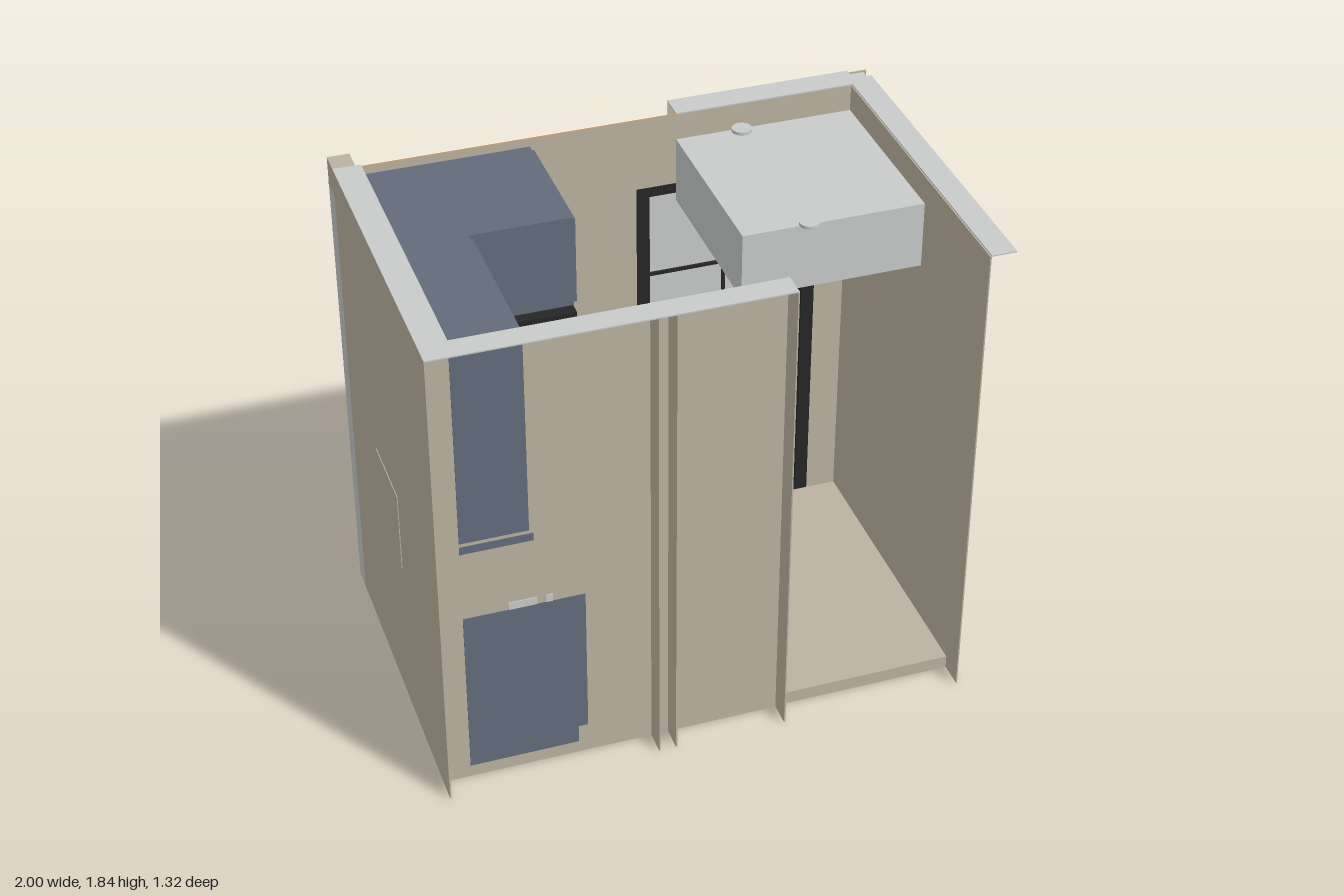
import * as THREE from 'three';

const mat = (name, color) => {
  const m = new THREE.MeshStandardMaterial({ color });
  m.name = name;
  return m;
};

export function createModel() {
  const tan = mat('wall tan', 0xbcb2a0), grey = mat('light grey', 0xc9cbcb);
  const blue = mat('cabinet blue', 0x636b7c), black = mat('appliance black', 0x262626);
  const wood = mat('warm wood', 0xd9aa78);
  const room = new THREE.Group();
  room.name = 'laundryRoom';

  // Box given by its limits on each axis
  const box = (name, m, x0, x1, y0, y1, z0, z1) => {
    const mesh = new THREE.Mesh(new THREE.BoxGeometry(x1 - x0, y1 - y0, z1 - z0), m);
    mesh.position.set((x0 + x1) / 2, (y0 + y1) / 2, (z0 + z1) / 2);
    mesh.name = name;
    room.add(mesh);
    return mesh;
  };
  const T = 0.005, H = 1.835;

  // Upright wall sheet in the xy plane with a door opening
  const doorWall = (name, pts, z) => {
    const s = new THREE.Shape(pts.map(p => new THREE.Vector2(...p)));
    s.holes.push(new THREE.Path([[0.09, 0.05], [0.09, 1.55], [0.79, 1.55], [0.79, 0.05]]
      .map(p => new THREE.Vector2(...p))));
    const mesh = new THREE.Mesh(new THREE.ExtrudeGeometry(s, { depth: T, bevelEnabled: false }), tan);
    mesh.position.z = z;
    mesh.name = name;
    room.add(mesh);
  };

  // Wall sheets
  doorWall('backWallOuter', [[-1, 0], [1, 0], [1, H - T], [0.24, H - T], [0.24, 1.73], [-1, 1.73]], -0.655);
  doorWall('backWallInner', [[-0.99, 0.05], [0.91, 0.05], [0.91, H - T], [-0.99, H - T]], -0.565);
  box('leftOuterWall', tan, -1, -1 + T, 0, H - T, -0.57, 0.66);
  box('leftInnerWall', tan, -0.905, -0.9, 0.05, H - T, -0.56, 0.57);
  box('rightWall', tan, 0.905, 0.91, 0, H - T, -0.56, 0.66);
  box('frontWall', tan, -1 + T, 0.24, 0, H - T, 0.567, 0.572);
  for (const x of [-0.235, -0.173, 0.236]) box('frontWallStub', tan, x, x + T, 0, H - T, 0.572, 0.66);
  box('cornerColumn', grey, 0.91, 0.985, 0, H - T, -0.64, -0.56);
  box('cornerStrip', grey, -1, -0.99, 0, 1.73, -0.655, -0.57);
  box('cornerBlock', tan, -1, -0.92, 1.73, H, -0.655, -0.57);
  box('accessPanel', tan, -1.003, -1, 0.62, 0.93, -0.17, 0.13);

  // Wall caps
  box('leftCap', grey, -1, -0.9, H - T, H, -0.57, 0.66);
  box('rightCap', grey, 0.91, 1, H - T, H, -0.6, 0.66);
  box('frontCap', grey, -0.9, 0.24, H - T, H, 0.57, 0.66);
  box('backCap', grey, 0.24, 0.93, H - T, H, -0.66, -0.56);

  // Sloping wooden header along the back
  const slope = new THREE.Shape([[-0.66, 1.725], [-0.56, 1.827], [-0.56, 1.835], [-0.66, 1.735]]
    .map(([z, y]) => new THREE.Vector2(-z, y)));
  const header = new THREE.Mesh(new THREE.ExtrudeGeometry(slope, { depth: 1.24, bevelEnabled: false }), wood);
  header.rotation.y = Math.PI / 2;
  header.position.x = -1;
  header.name = 'backHeader';
  room.add(header);

  // Floor
  box('floor', tan, -0.99, 0.905, 0.043, 0.05, -0.65, 0.567);
  box('threshold', tan, 0.24, 0.905, 0, 0.05, 0.56, 0.567);
  box('applianceBase', black, -0.9, -0.28, 0.039, 0.043, -0.56, -0.06);
  box('cabinetBase', blue, -0.9, -0.5, 0.039, 0.043, -0.06, 0.565);

  // Glazed back door
  box('doorGlass', grey, 0.12, 0.76, 0.08, 1.52, -0.615, -0.605);
  for (const [a, b] of [[0.09, 0.14], [0.74, 0.79]]) box('doorStile', black, a, b, 0.05, 1.55, -0.65, -0.56);
  for (const [a, b] of [[0.05, 0.09], [1.51, 1.55]]) box('doorRail', black, 0.14, 0.74, a, b, -0.65, -0.56);
  box('doorMuntin', black, 0.434, 0.446, 0.09, 1.51, -0.625, -0.595);
  for (const y of [0.443, 0.798, 1.155]) box('doorMuntin', black, 0.14, 0.74, y - 0.006, y + 0.006, -0.625, -0.595);
  for (const [a, b] of [[0.02, 0.07], [0.81, 0.87]]) box('doorTrim', tan, a, b, 0, 1.63, -0.661, -0.655);
  box('doorTrim', tan, 0.07, 0.81, 1.57, 1.63, -0.661, -0.655);
  box('baseboard', tan, -0.92, 0.02, 0, 0.05, -0.661, -0.655);

  // Cabinets
  box('upperCabinet', blue, -0.9, -0.66, 1.03, 1.8, -0.06, 0.567);
  box('lightRail', blue, -0.9, -0.645, 0.985, 1.015, -0.06, 0.567);
  box('deepCabinet', blue, -0.9, -0.3, 1.45, 1.8, -0.56, -0.06);
  box('baseCabinet', blue, -0.9, -0.48, 0.12, 0.7, -0.06, 0.567);
  box('toeKick', blue, -0.9, -0.505, 0.05, 0.12, -0.06, 0.567);
  box('countertop', tan, -0.9, -0.455, 0.7, 0.712, -0.06, 0.567);
  box('sink', grey, -0.74, -0.55, 0.712, 0.74, 0.1, 0.4);
  box('counterItem', grey, -0.57, -0.46, 0.712, 0.74, -0.06, 0);
  for (const z of [-0.05, 0.255]) {
    box('upperDoor', blue, -0.66, -0.648, 1.04, 1.79, z, z + 0.3);
    box('baseDoor', blue, -0.48, -0.468, 0.13, 0.69, z, z + 0.3);
  }
  for (const z of [-0.55, -0.305]) box('deepDoor', blue, -0.3, -0.288, 1.46, 1.79, z, z + 0.24);

  // Wooden pull handles
  const handle = (x, y, z0, z1) => {
    box('handleBar', wood, x + 0.012, x + 0.02, y, y + 0.01, z0, z1);
    for (const z of [z0, z1 - 0.008]) box('handlePost', wood, x, x + 0.012, y, y + 0.01, z, z + 0.008);
  };
  for (const z of [0.155, 0.26]) {
    handle(-0.648, 1.06, z, z + 0.095);
    handle(-0.455, 0.65, z, z + 0.095);
  }
  handle(-0.288, 1.47, -0.36, -0.26);

  // Stacked washer and dryer
  box('washer', black, -0.88, -0.29, 0.05, 0.72, -0.56, -0.06);
  box('controlPanel', black, -0.88, -0.27, 0.72, 0.83, -0.56, -0.06);
  box('dryer', black, -0.88, -0.29, 0.83, 1.42, -0.56, -0.06);
  const ring = new THREE.Mesh(new THREE.TorusGeometry(0.18, 0.016, 8, 40), black);
  ring.rotation.y = Math.PI / 2;
  ring.position.set(-0.287, 0.4, -0.31);
  ring.name = 'washerDoorRing';
  room.add(ring);

  // Hanging soffit and ceiling lights
  box('soffit', grey, 0.24, 0.905, 1.48, 1.73, -0.56, 0.13);
  for (const z of [-0.39, 0.27]) {
    const light = new THREE.Mesh(new THREE.CylinderGeometry(0.036, 0.036, 0.012, 28), grey);
    light.position.set(0.425, 1.829, z);
    light.name = 'ceilingLight';
    room.add(light);
  }

  // Cabinet outlines showing flush on the outside of the walls
  const F = 0.572;
  const plate = (m, x0, x1, y0, y1) => box('cabinetBackPlate', m, x0, x1, y0, y1, F, F + 0.003);
  plate(blue, -0.9, -0.66, 1.03, 1.8);
  plate(blue, -0.9, -0.645, 0.985, 1.015);
  plate(blue, -0.9, -0.47, 0.12, 0.71);
  plate(blue, -0.9, -0.505, 0.05, 0.12);
  plate(grey, -0.74, -0.64, 0.71, 0.74);
  plate(grey, -0.61, -0.585, 0.71, 0.74);
  box('soffitEndPlate', grey, 0.91, 0.913, 1.48, 1.73, -0.56, 0.14);

  return room;
}
